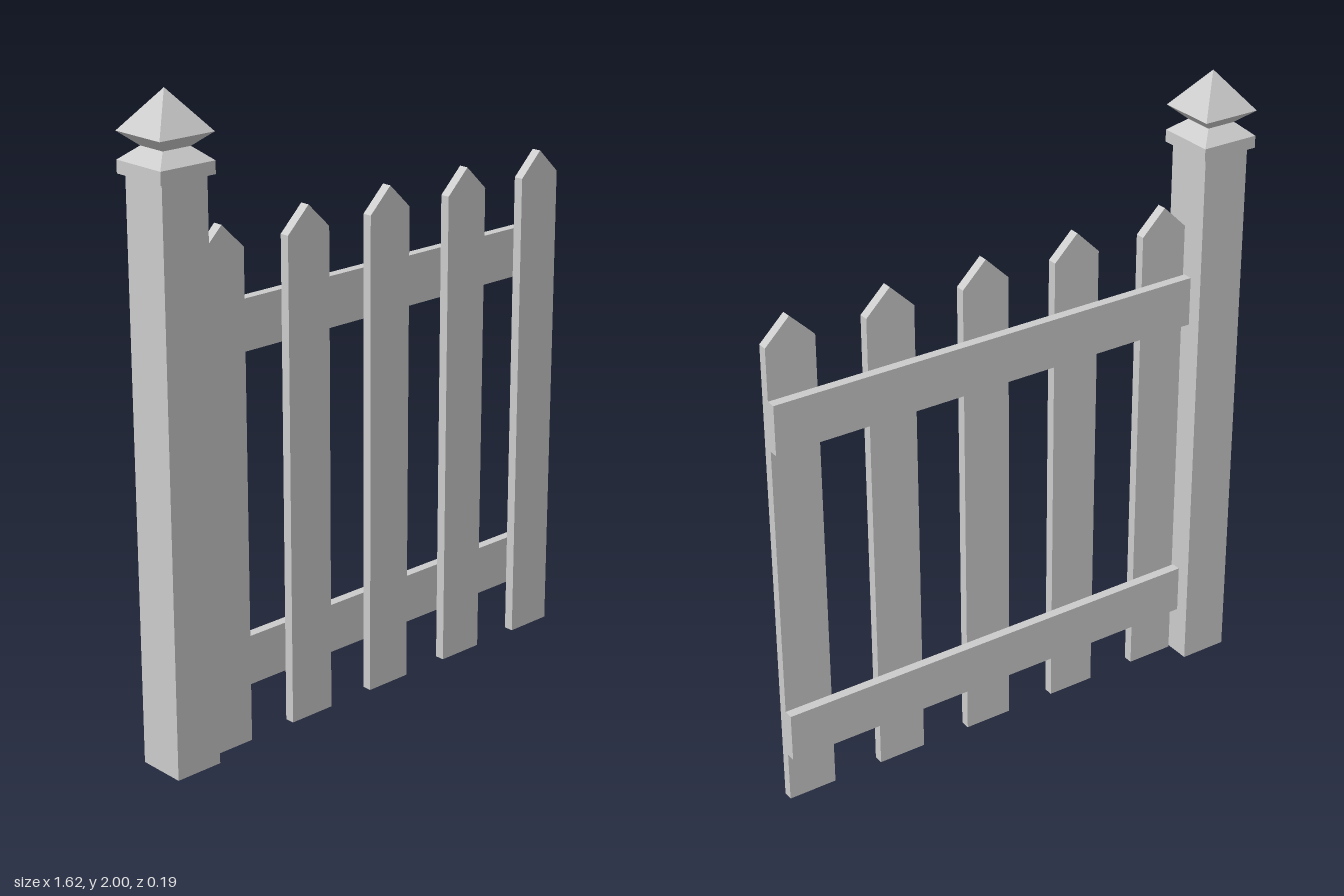
import * as THREE from 'three';

const material = new THREE.MeshStandardMaterial({ color: 0xcccccc, flatShading: true });
const POST_X = -0.715;
const THICKNESS = 0.031;

function addMesh(parent, name, geometry, x = 0, y = 0, z = 0) {
  const mesh = new THREE.Mesh(geometry, material);
  mesh.name = name;
  mesh.position.set(x, y, z);
  parent.add(mesh);
  return mesh;
}

// Square-section turned shape from [half width, height] pairs, bottom to top
function squareLathe(profile) {
  const points = profile.map(([half, y]) => new THREE.Vector2(half * Math.SQRT2, y));
  return new THREE.LatheGeometry(points, 4, Math.PI / 4).toNonIndexed();
}

// Flat board with a pointed top
function picketGeometry(width, shoulder, peak) {
  const h = width / 2;
  const shape = new THREE.Shape([
    new THREE.Vector2(-h, 0),
    new THREE.Vector2(h, 0),
    new THREE.Vector2(h, shoulder),
    new THREE.Vector2(0, peak),
    new THREE.Vector2(-h, shoulder),
  ]);
  return new THREE.ExtrudeGeometry(shape, { depth: THICKNESS, bevelEnabled: false });
}

export function createModel() {
  const fence = new THREE.Group();
  fence.name = 'picketFence';

  // Post with its stepped collar and pyramid finial
  const post = new THREE.Group();
  post.name = 'post';
  post.position.x = POST_X;
  fence.add(post);
  addMesh(post, 'postShaft', new THREE.BoxGeometry(0.156, 1.765, 0.156), 0, 0.8825, 0);
  addMesh(post, 'postCap', squareLathe([
    [0, 1.765], [0.094, 1.765], [0.094, 1.803], [0.048, 1.842], [0.094, 1.882], [0, 2],
  ]));

  // Pickets on the front of the rails
  const picket = picketGeometry(0.157, 1.523, 1.6);
  for (let i = 0; i < 5; i++) addMesh(fence, `picket${i + 1}`, picket, -0.553 + i * 0.32, 0, 0);

  // Rails running from the post to the last picket
  const railStart = -0.64, railEnd = 0.806;
  const rail = new THREE.BoxGeometry(railEnd - railStart, 0.157, THICKNESS);
  for (const [name, y] of [['lowerRail', 0.242], ['upperRail', 1.282]]) {
    addMesh(fence, name, rail, (railStart + railEnd) / 2, y, -THICKNESS / 2);
  }

  return fence;
}
